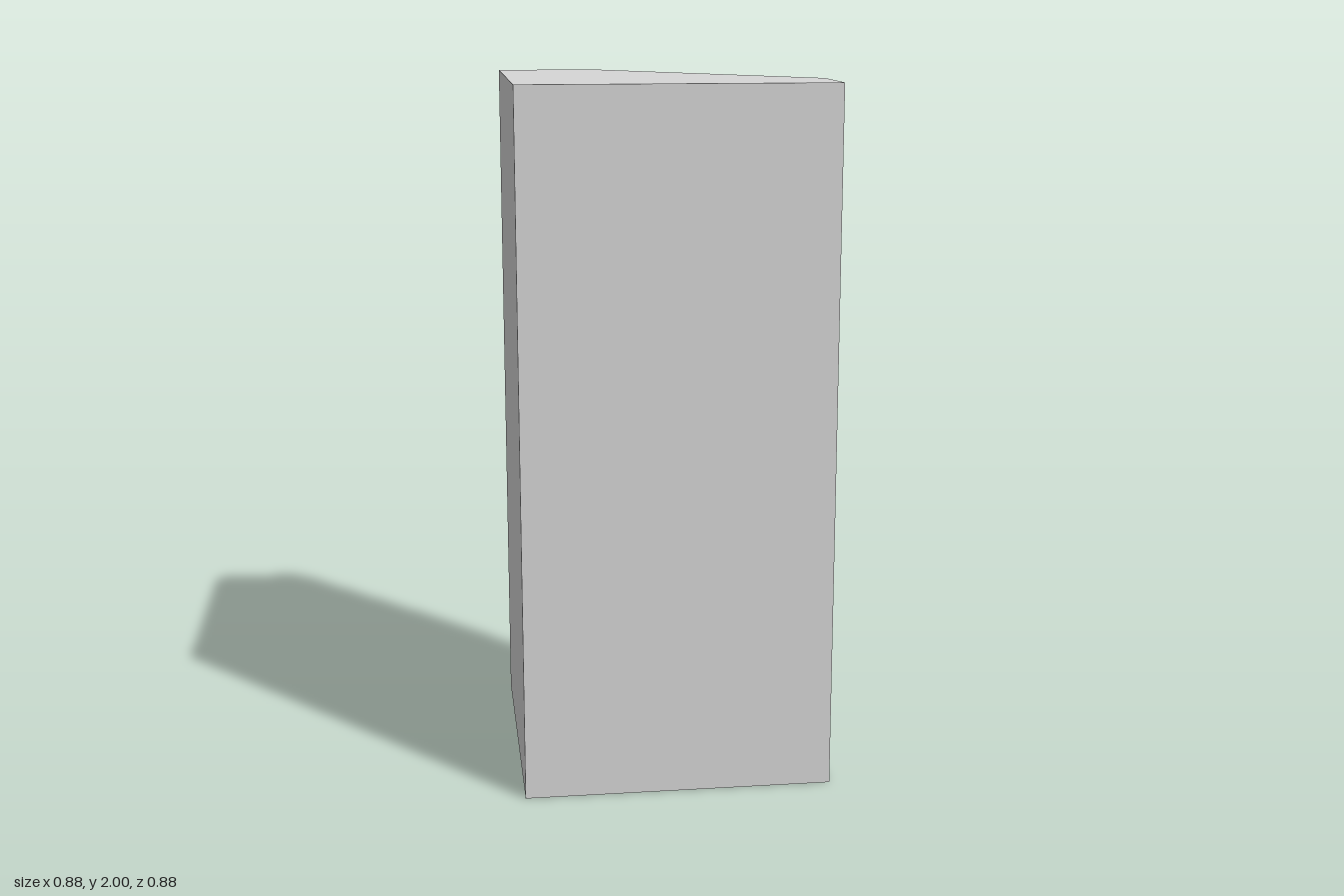
import * as THREE from 'three';
import { ConvexGeometry } from 'three/addons/geometries/ConvexGeometry.js';

const OUT = 0.44, IN = 0.41;            // outer and inner half width
const FLOOR = 0.015, RIM = 0.1, CEIL = 1.985, TOP = 2;

export function createModel() {
  const group = new THREE.Group();
  group.name = 'cornerShower';
  const grey = new THREE.MeshStandardMaterial({ color: 0xd6d6d6 });
  grey.name = 'light grey';
  const teal = new THREE.MeshStandardMaterial({ color: 0x7adada });
  teal.name = 'teal glass';

  const add = (name, geometry, material) => {
    const mesh = new THREE.Mesh(geometry, material);
    mesh.name = name;
    group.add(mesh);
    return mesh;
  };
  const ring = (points, y) => points.map(([x, z]) => new THREE.Vector3(x, y, z));
  const hull = (...rings) => new ConvexGeometry(rings.flat());

  // Mitred upright slab: outer and inner footprint edges with their own heights
  const slab = (outer, inner, o0, o1, i0, i1) =>
    hull(ring(outer, o0), ring(outer, o1), ring(inner, i0), ring(inner, i1));

  // Solid walls on two neighbouring sides
  const walls = {
    rightWall: [[[-OUT, -OUT], [-OUT, OUT]], [[-IN, -IN], [-IN, IN]]],
    frontWall: [[[-OUT, OUT], [OUT, OUT]], [[-IN, IN], [IN, IN]]],
  };
  for (const [name, [outer, inner]] of Object.entries(walls))
    add(name, slab(outer, inner, 0, TOP, FLOOR, CEIL), grey);

  // Glass panels beside the entrance, each on a grey sill
  const panels = {
    backPanel: [[[-OUT, -OUT], [-0.15, -OUT]], [[-IN, -IN], [-0.1, -0.413]]],
    sidePanel: [[[OUT, OUT], [OUT, 0.19]], [[IN, IN], [0.412, 0.143]]],
  };
  for (const [name, [outer, inner]] of Object.entries(panels)) {
    add(name, slab(outer, inner, RIM, TOP, RIM, CEIL), teal);
    add(name + 'Sill', slab(outer, inner, 0, RIM, FLOOR, RIM), grey);
  }

  // Tray floor and the sloping rims at the open corner
  const square = (s) => [[-s, -s], [s, -s], [s, s], [-s, s]];
  add('trayFloor', hull(ring(square(OUT), 0), ring(square(IN), FLOOR)), grey);
  const rims = {
    backRim: [[[-OUT, -OUT], [OUT, -OUT]], [[-IN, -0.412], [0.402, -0.412]]],
    sideRim: [[[OUT, -OUT], [OUT, OUT]], [[0.402, -0.412], [IN, IN]]],
  };
  for (const [name, [outer, inner]] of Object.entries(rims))
    add(name, hull(ring(outer, 0), ring(outer, RIM), ring(inner, FLOOR)), grey);

  // Five-sided roof with a bevelled edge over the entrance
  add('roof', hull(
    ring([[-OUT, -OUT], [-0.15, -OUT], [OUT, 0.19], [OUT, OUT], [-OUT, OUT]], TOP),
    ring([[-IN, -IN], [-0.1, -0.413], [0.412, 0.143], [IN, IN], [-IN, IN]], CEIL)), grey);

  // Shower head: faceted loft along a bent neck [x, y, direction, radius]
  const sections = [
    [-0.415, 1.745, 0, 0.02],
    [-0.365, 1.757, -0.2, 0.022],
    [-0.33, 1.74, -0.9, 0.027],
    [-0.308, 1.69, -1.45, 0.056],
    [-0.306, 1.679, -1.47, 0.058],
    [-0.306, 1.679, -1.47, 0],
  ];
  const sides = 8, positions = [], index = [];
  sections.forEach(([x, y, a, r], i) => {
    for (let j = 0; j < sides; j++) {
      const t = (j + 0.5) / sides * Math.PI * 2, n = r * Math.cos(t);
      positions.push(x - n * Math.sin(a), y + n * Math.cos(a), r * Math.sin(t));
      if (i === sections.length - 1) continue;
      const A = i * sides + j, B = i * sides + (j + 1) % sides;
      index.push(A, B, B + sides, A, B + sides, A + sides);
    }
  });
  let head = new THREE.BufferGeometry();
  head.setAttribute('position', new THREE.Float32BufferAttribute(positions, 3));
  head.setIndex(index);
  head = head.toNonIndexed();
  head.computeVertexNormals();
  add('showerHead', head, grey).position.z = 0.01;

  return group;
}
